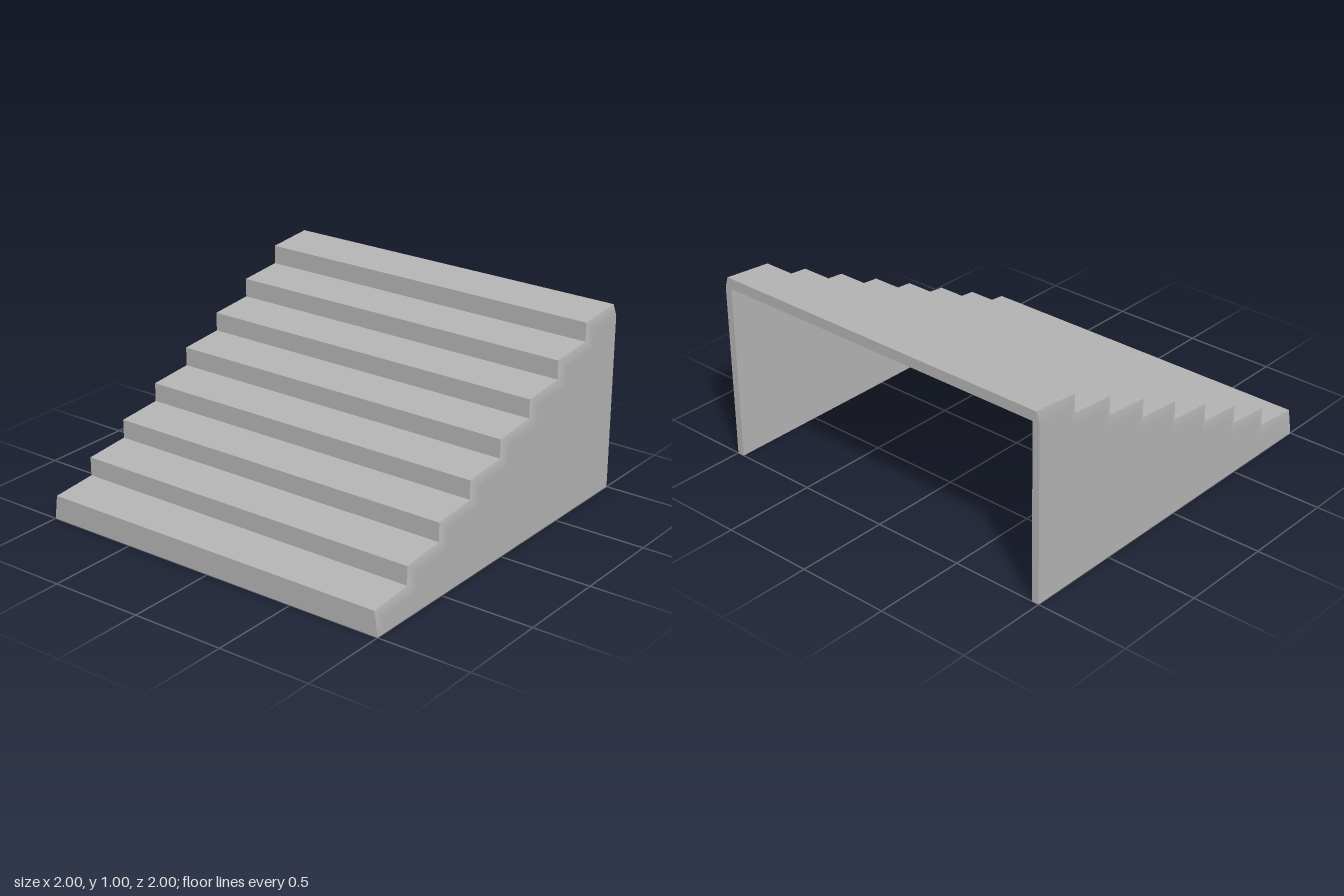
import * as THREE from 'three';

const STEPS = 8;
const T = 0.045;      // shell thickness
const EDGE = 0.982;   // half width along the stepped edge
const HALF = 1;       // half width of the side walls
const WALL = 0.04;    // side wall thickness

// Stepped outline as [z, y] from the front foot to the top of the back, treads rising slightly
function outline() {
  const pts = [[1, 0]];
  for (let i = 0; i < STEPS; i++) {
    const z = 1 - i * 0.2485;
    const next = i === STEPS - 1 ? -1 : z - 0.2485;
    const y = 0.13 + i * 0.1212;
    pts.push([z, y], [next, y + 0.0216]);
  }
  return pts;
}

// Extrudes a [z, y] polygon across x, ending at xMax
function extrudeAcross(points, width, xMax) {
  const shape = new THREE.Shape(points.map(([z, y]) => new THREE.Vector2(z, y)));
  const geo = new THREE.ExtrudeGeometry(shape, { depth: width, bevelEnabled: false });
  geo.rotateY(-Math.PI / 2);
  geo.translate(xMax, 0, 0);
  return geo;
}

// Softly shaded strip between the stepped edge and the flat of a side wall
function edgeStrip(outer, inner, side) {
  const pos = [], nor = [], idx = [];
  outer.forEach(([z, y], i) => {
    const [qz, qy] = inner[i];
    pos.push(side * (i === 0 ? HALF : EDGE), y, z, side * HALF, qy, qz);
    const n = new THREE.Vector3(side, i === 0 ? 0 : 0.2, i === 0 ? 0 : 0.15).normalize();
    nor.push(n.x, n.y, n.z, side, 0, 0);
    if (i === 0) return;
    const p0 = 2 * i - 2, q0 = p0 + 1, p1 = 2 * i, q1 = p1 + 1;
    if (side > 0) idx.push(q0, q1, p1, q0, p1, p0);
    else idx.push(q0, p1, q1, q0, p0, p1);
  });
  const geo = new THREE.BufferGeometry();
  geo.setAttribute('position', new THREE.Float32BufferAttribute(pos, 3));
  geo.setAttribute('normal', new THREE.Float32BufferAttribute(nor, 3));
  geo.setIndex(idx);
  return geo;
}

export function createModel() {
  const group = new THREE.Group();
  group.name = 'staircase';
  const stone = new THREE.MeshStandardMaterial({ color: 0xb4b4b4 });
  stone.name = 'grey stone';

  const add = (name, geo) => {
    const mesh = new THREE.Mesh(geo, stone);
    mesh.name = name;
    group.add(mesh);
  };

  const outer = outline();
  const inner = outer.map(([z, y]) => [Math.max(z - T, -1), Math.max(y - T, 0)]);
  inner[inner.length - 1][1] = 0.945;

  // Treads and risers: one hollow stepped shell, flaring to full width at the foot
  const shell = extrudeAcross([...outer, ...[...inner].reverse()], 2 * EDGE, EDGE);
  const p = shell.attributes.position;
  for (let i = 0; i < p.count; i++) {
    if (p.getY(i) < 0.001) p.setX(i, Math.sign(p.getX(i)) * HALF);
  }
  shell.computeVertexNormals();
  add('treadsAndRisers', shell);

  // Side walls with a narrowed stepped edge; back and underside stay open
  for (const side of [1, -1]) {
    const label = side > 0 ? 'left' : 'right';
    const xMax = side > 0 ? HALF : -HALF + WALL;
    add(label + 'Wall', extrudeAcross([...inner, [-1, 0]], WALL, xMax));
    add(label + 'WallEdge', edgeStrip(outer, inner, side));

    // Small cap closing the narrowed edge at the back
    const cap = new THREE.BufferGeometry();
    const a = [side * EDGE, 1, -1], b = [side * HALF, 0.945, -1], c = [side * EDGE, 0.945, -1];
    const tri = side > 0 ? [a, b, c] : [a, c, b];
    cap.setAttribute('position', new THREE.Float32BufferAttribute(tri.flat(), 3));
    cap.computeVertexNormals();
    add(label + 'BackCap', cap);
  }
  return group;
}
